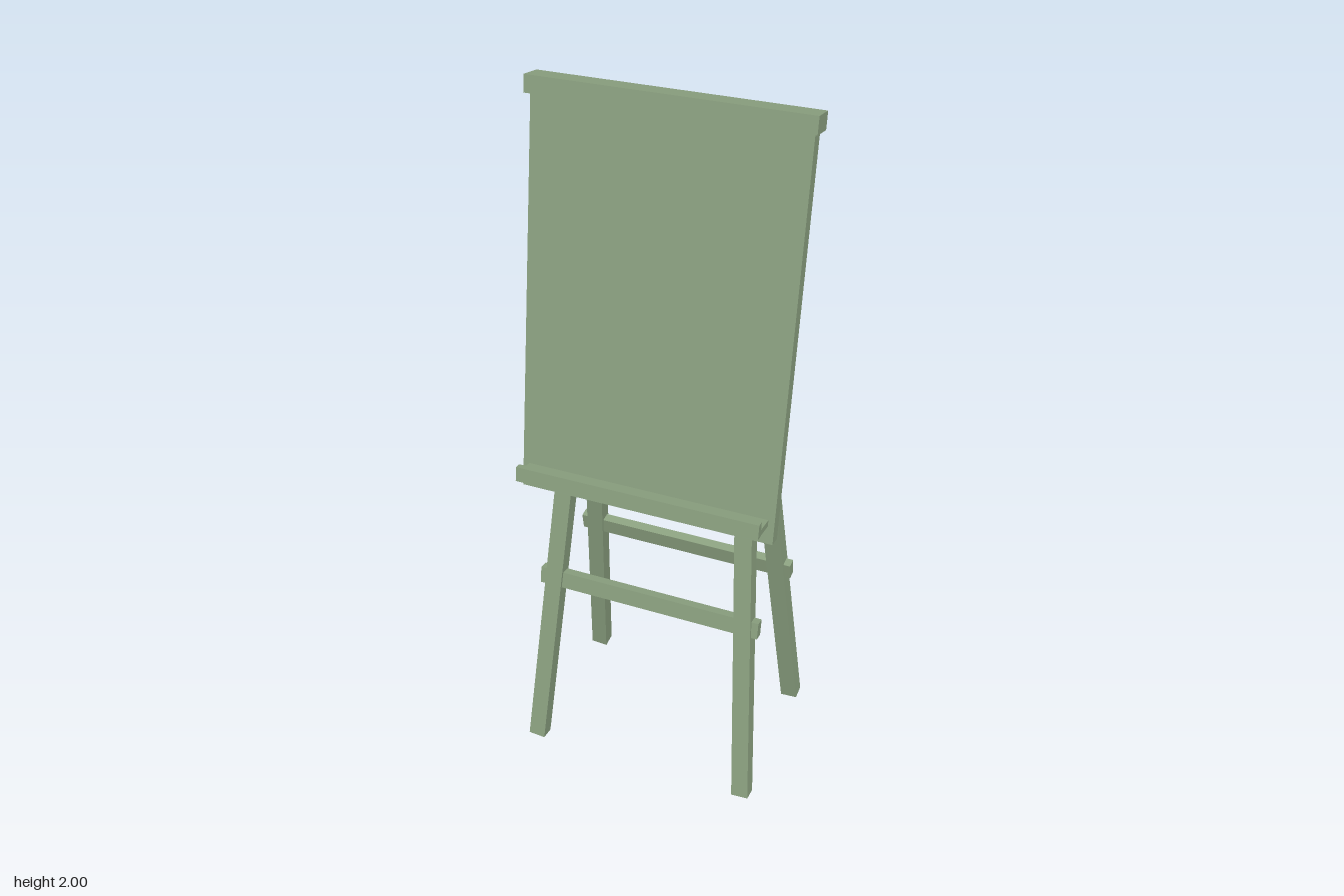
import * as THREE from 'three';

const paint = new THREE.MeshStandardMaterial({ color: 0x8da382 });
const TILT = -0.158; // backward lean shared by the board and the front frame

function box(parent, name, size, pos) {
  const mesh = new THREE.Mesh(new THREE.BoxGeometry(...size), paint);
  mesh.name = name;
  mesh.position.set(...pos);
  parent.add(mesh);
  return mesh;
}

// Square leg running from foot to top
function leg(parent, name, foot, top) {
  const a = new THREE.Vector3(...foot), b = new THREE.Vector3(...top);
  const dir = b.clone().sub(a);
  const mesh = box(parent, name, [0.05, dir.length(), 0.043], a.clone().add(b).multiplyScalar(0.5).toArray());
  mesh.quaternion.setFromUnitVectors(new THREE.Vector3(0, 1, 0), dir.normalize());
}

export function createModel() {
  const model = new THREE.Group();
  model.name = 'easel';

  // Folding stand: two A-shaped frames leaning against each other
  const frames = [
    { name: 'front', zFoot: 0.232, zTop: 0.023, yTop: 1.335, tilt: TILT },
    { name: 'back', zFoot: -0.23, zTop: -0.025, yTop: 1.342, tilt: -TILT },
  ];
  for (const f of frames) {
    const frame = new THREE.Group();
    frame.name = f.name + 'Frame';
    for (const [side, s] of [['Left', 1], ['Right', -1]]) {
      leg(frame, f.name + side + 'Leg', [s * 0.33, 0.006, f.zFoot], [s * 0.232, f.yTop, f.zTop]);
    }
    // Rungs pass through the legs
    const rungs = [['LowerRung', 0.565, 0.665], ['UpperRung', 1.305, 0.535]];
    for (const [name, y, width] of rungs) {
      const z = f.zFoot + (f.zTop - f.zFoot) * (y / f.yTop);
      box(frame, f.name + name, [width, 0.05, 0.028], [0, y, z]).rotation.x = f.tilt;
    }
    model.add(frame);
  }

  // Leaning board with its cap and tray, built upright from its lower edge
  const panel = new THREE.Group();
  panel.name = 'boardAssembly';
  panel.position.set(0, 0.883, 0.149);
  panel.rotation.x = TILT;
  box(panel, 'board', [0.73, 1.09, 0.038], [0, 0.545, 0]);
  box(panel, 'topCap', [0.75, 0.045, 0.07], [0, 1.103, 0.002]);
  box(panel, 'trayShelf', [0.695, 0.018, 0.066], [0, 0.061, 0.05]);
  box(panel, 'trayLip', [0.695, 0.042, 0.02], [0, 0.071, 0.089]);
  model.add(panel);

  // The easel stands turned very slightly
  model.rotation.y = 0.019;
  return model;
}
